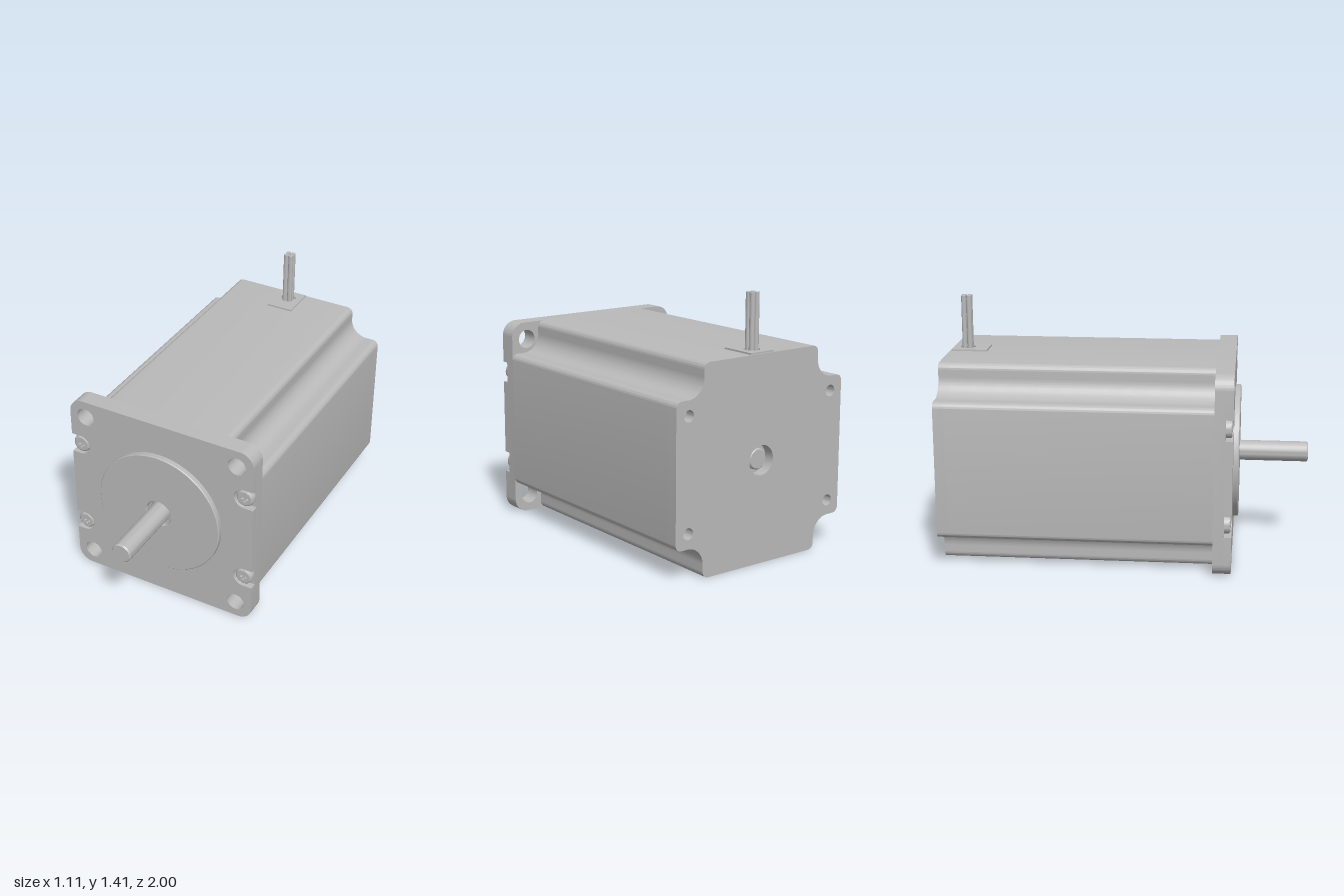
import * as THREE from 'three';
import { toCreasedNormals } from 'three/addons/utils/BufferGeometryUtils.js';

const H = 0.554;              // half width of the square body
const EAR = 0.458;            // mounting hole offset
const SCREW = [0.5, 0.265];   // screw centre offset
const PI = Math.PI;

export function createModel() {
  const model = new THREE.Group();
  model.name = 'steppedMotor';
  const metal = new THREE.MeshStandardMaterial({ color: 0xbababa });
  metal.name = 'greyMetal';

  const axis = new THREE.Group(); // origin on the shaft line
  axis.name = 'motor';
  axis.position.y = H;
  model.add(axis);

  const add = (parent, name, geometry, x = 0, y = 0, z = 0) => {
    const mesh = new THREE.Mesh(toCreasedNormals(geometry, 0.5), metal);
    mesh.name = name;
    mesh.position.set(x, y, z);
    parent.add(mesh);
    return mesh;
  };
  const extrude = (shape, depth) =>
    new THREE.ExtrudeGeometry(shape, { depth, bevelEnabled: false, curveSegments: 14 });
  // Lathe turned about the z axis; pairs are [radius, z]
  const lathe = (pairs, segments = 56) =>
    new THREE.LatheGeometry(pairs.map(p => new THREE.Vector2(...p)), segments).rotateX(PI / 2);
  const hole = (shape, x, y, r) => {
    const path = new THREE.Path();
    path.absarc(x, y, r, 0, 2 * PI, true);
    shape.holes.push(path);
  };
  const corners = (x, y) => [[x, y], [-x, y], [-x, -y], [x, -y]];
  // Arc whose centre and angles are turned about the origin
  const turnedArc = (shape, turn, x, y, r, a, b, clockwise = false) => {
    const c = Math.cos(turn), s = Math.sin(turn);
    shape.absarc(x * c - y * s, x * s + y * c, r, a + turn, b + turn, clockwise);
  };

  // Body section: square with a concave cove at each corner
  const bodyShape = () => {
    const shape = new THREE.Shape(), r = 0.035, wall = 0.38, cove = 0.1;
    for (let k = 0; k < 4; k++) {
      const t = k * PI / 2;
      turnedArc(shape, t, H - r, wall - r, r, 0, PI / 2);
      turnedArc(shape, t, wall + cove, wall + cove, cove, -PI / 2, -PI, true);
      turnedArc(shape, t, wall - r, H - r, r, 0, PI / 2);
    }
    shape.closePath();
    return shape;
  };
  add(axis, 'body', extrude(bodyShape(), 1.43), 0, 0, -0.94);
  const rear = bodyShape();
  hole(rear, 0, 0, 0.08);
  corners(0.475, 0.3).forEach(([x, y]) => hole(rear, x, y, 0.031));
  add(axis, 'rearCover', extrude(rear, 0.06), 0, 0, -1);

  // Front flange: plain back layer and notched front layer
  const flangeShape = notched => {
    const shape = new THREE.Shape(), r = 0.08, n = 0.058;
    for (const t of [0, PI]) {
      turnedArc(shape, t, H - r, r - H, r, -PI / 2, 0);
      if (notched) for (const y of [-SCREW[1], SCREW[1]]) {
        const s = t ? -1 : 1;
        shape.lineTo(s * H, s * (y - n));
        turnedArc(shape, t, SCREW[0], y, n, -PI / 2, -1.5 * PI, true);
        shape.lineTo(s * H, s * (y + n));
      }
      turnedArc(shape, t, H - r, H - r, r, 0, PI / 2);
    }
    shape.closePath();
    corners(EAR, EAR).forEach(([x, y]) => hole(shape, x, y, 0.052));
    if (notched) hole(shape, 0, 0, 0.08);
    return shape;
  };
  add(axis, 'flangeBack', extrude(flangeShape(false), 0.06), 0, 0, 0.49);
  add(axis, 'flangeFront', extrude(flangeShape(true), 0.04), 0, 0, 0.55);

  // Raised round pilot with a recessed centre
  add(axis, 'pilot', lathe([[0.37, 0.59], [0.37, 0.615], [0.365, 0.62],
    [0.08, 0.62], [0.074, 0.612], [0.074, 0.55]]));
  add(axis, 'bearingRing', lathe([[0.074, 0.55], [0.074, 0.595], [0.064, 0.595], [0.064, 0.55]]));

  // Shaft running through to the rear recess
  add(axis, 'shaft', lathe([[0, -0.975], [0.05, -0.975], [0.056, -0.968],
    [0.056, 0.992], [0.05, 1], [0, 1]], 40));

  // Screws with a cross recess
  const cross = new THREE.Path();
  const a = 0.021, b = 0.007;
  cross.setFromPoints([[a, -b], [b, -b], [b, -a], [-b, -a], [-b, -b], [-a, -b],
    [-a, b], [-b, b], [-b, a], [b, a], [b, b], [a, b], [a, -b]].map(p => new THREE.Vector2(...p)));
  const cap = new THREE.Shape();
  cap.absarc(0, 0, 0.04, 0, 2 * PI);
  cap.holes.push(cross);
  for (const [x, y] of corners(...SCREW)) {
    const screw = new THREE.Group();
    screw.name = 'screw';
    screw.position.set(x, y, 0.55);
    axis.add(screw);
    add(screw, 'screwRim', lathe([[0.05, 0], [0.05, 0.022], [0.047, 0.03], [0.04, 0.035]], 32));
    add(screw, 'screwCap', extrude(cap, 0.015), 0, 0, 0.02);
    add(screw, 'screwRecess', new THREE.CircleGeometry(0.04, 24), 0, 0, 0.02);
  }

  // Cable plate and four lead wires on top at the rear
  const plate = new THREE.Shape();
  plate.moveTo(-0.077, -0.12).lineTo(0.077, -0.12).lineTo(0.077, 0.08).lineTo(-0.077, 0.08);
  plate.closePath();
  hole(plate, 0, 0, 0.042);
  add(axis, 'cablePlate', extrude(plate, 0.009).rotateX(-PI / 2), 0, H, -0.912);
  for (const [x, z] of corners(0.0145, 0.0145)) {
    add(axis, 'leadWire', new THREE.CylinderGeometry(0.0142, 0.0142, 0.31, 16),
      x, H + 0.147, -0.912 + z);
  }
  return model;
}
